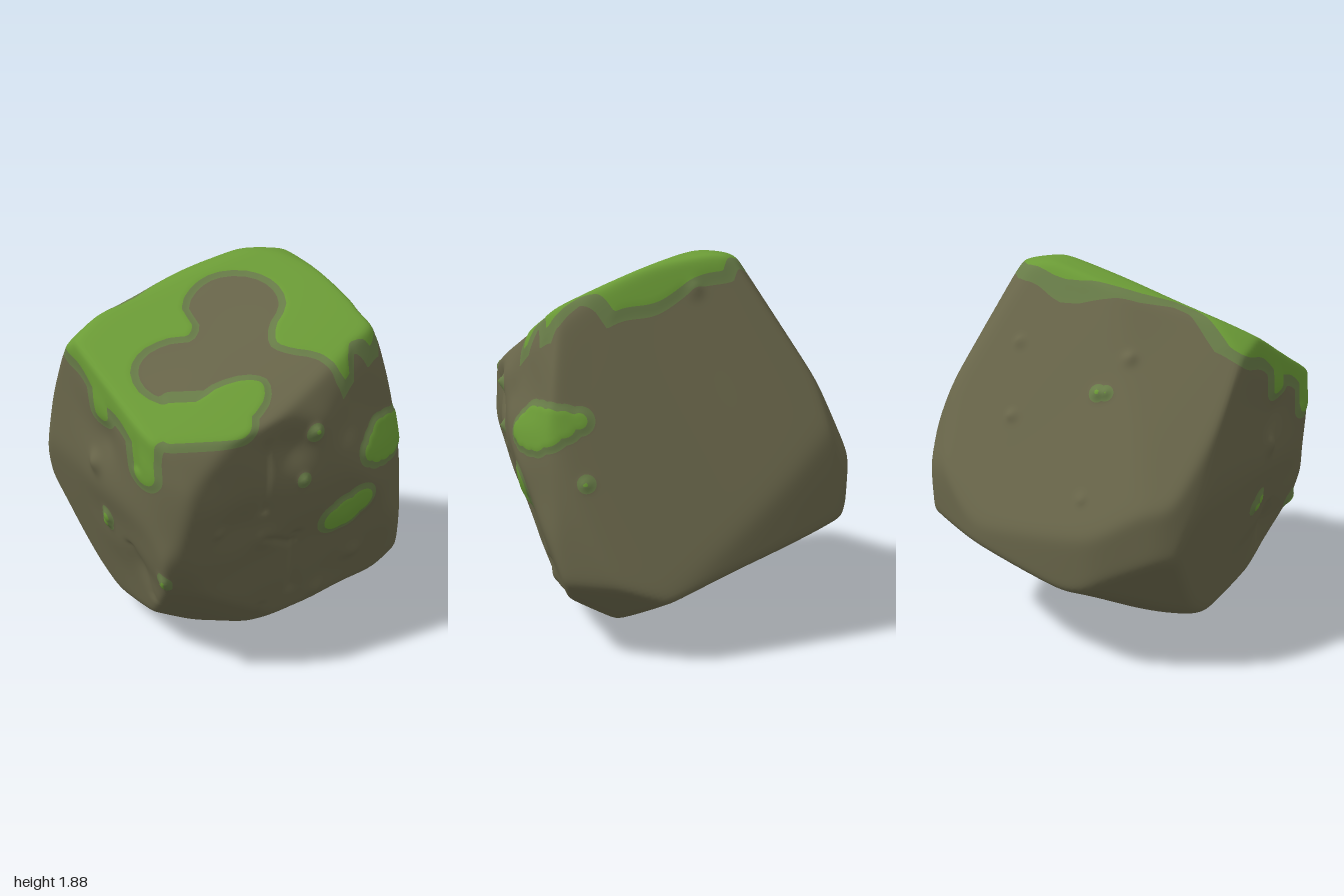
import * as THREE from 'three';
import { mergeVertices } from 'three/addons/utils/BufferGeometryUtils.js';

const MID = 0.94; // height of the rock's centre
const V = (x, y, z) => new THREE.Vector3(x, y, z);
const { smoothstep, clamp } = THREE.MathUtils;

// Outlines of the boulder: front (x, y), side (z, y) and plan (x, z)
const FRONT = [[-0.95, 0.72], [-0.94, 0.56], [-0.65, 0.22], [-0.55, 0.14], [-0.05, 0], [0.55, 0.08], [0.62, 0.11],
  [0.93, 0.4], [0.94, 0.55], [0.92, 0.8], [0.81, 1.4], [0.77, 1.52], [0.6, 1.72], [0.5, 1.8], [0.3, 1.87],
  [0.18, 1.88], [-0.2, 1.77], [-0.58, 1.64], [-0.72, 1.5], [-0.82, 1.42]];
const SIDE = [[1, 1.05], [0.91, 1.26], [0.5, 1.5], [-0.2, 1.88], [-0.35, 1.87], [-0.45, 1.83], [-0.85, 1.27],
  [-1, 0.86], [-0.98, 0.62], [-0.1, 0.12], [0, 0.08], [0.2, 0], [0.4, 0.08], [0.58, 0.25], [0.8, 0.46], [0.95, 0.75]];
const PLAN = [[0.27, -1], [-0.1, -0.97], [-0.2, -0.94], [-0.7, -0.6], [-0.9, -0.35], [-0.95, -0.2], [-0.75, 0.2],
  [-0.55, 0.55], [-0.38, 0.83], [-0.32, 0.9], [-0.16, 1], [0.13, 0.85], [0.7, 0.52], [0.92, 0.22],
  [0.94, -0.15], [0.85, -0.3], [0.45, -0.8]];

// Main faces of the tilted block: normal and distance from the centre
const TOP = [V(-0.06, 0.89, 0.45), 0.71];
const BACK = [V(-0.47, 0.48, -0.74), 0.67];
const planes = [TOP, BACK, [V(0.87, 0.26, -0.41), 0.7],
  [V(0.47, -0.3, 0.83), 0.75], [V(-0.85, -0.25, 0.46), 0.73], [V(0.08, -0.89, -0.45), 0.75],
  // Worn corners and bevels
  [V(0.5, 0.45, 0.74), 0.87], [V(0.72, 0.2, 0.66), 0.83], [V(-0.65, 0.55, -0.5), 0.72],
  [V(-0.745, -0.617, -0.248), 0.94], [V(-0.35, -0.87, 0.35), 0.94], [V(0.35, -0.87, 0.35), 0.93],
  [V(-0.35, -0.87, -0.35), 0.865]];

// Each outline edge adds a plane that trims the block
function trim(outline, centre, to3) {
  outline.forEach((a, i) => {
    const b = outline[(i + 1) % outline.length];
    const n = new THREE.Vector2(b[1] - a[1], a[0] - b[0]).normalize();
    const dist = (p) => n.dot(centre(p));
    if (dist(a) < 0) n.negate();
    planes.push([to3(n), Math.max(...outline.map(dist))]);
  });
}
const upright = (p) => new THREE.Vector2(p[0], p[1] - MID);
trim(FRONT, upright, (n) => V(n.x, n.y, 0));
trim(SIDE, upright, (n) => V(0, n.y, n.x));
trim(PLAN, (p) => new THREE.Vector2(p[0], p[1]), (n) => V(n.x, 0, n.y));

// Distance to the softly rounded block along direction d
function radius(d) {
  let sum = 0;
  for (const [n, h] of planes) sum += Math.pow(Math.max(0, n.dot(d) / h), 80);
  return 1.013 * Math.pow(sum, -1 / 80);
}
function onRock([x, y, z, r, h]) {
  const d = V(x, y - MID, z).normalize();
  return { p: d.multiplyScalar(radius(d)), r, h };
}

// Moss cap seen in plan, wrapping round a bare patch
const CAP = [[0.25, -0.5], [0.08, -0.46], [-0.1, -0.37], [-0.37, -0.13], [-0.48, 0.01], [-0.73, 0.07], [-0.9, 0.17],
  [-0.65, 0.68], [-0.45, 0.95], [-0.3, 0.93], [-0.2, 0.9], [-0.1, 0.88], [0.03, 0.89], [0.12, 0.82], [0.2, 0.7],
  [0.19, 0.59], [0.1, 0.56], [-0.05, 0.6], [-0.15, 0.67], [-0.25, 0.68], [-0.36, 0.61], [-0.4, 0.5],
  [-0.36, 0.41], [-0.25, 0.35], [-0.15, 0.34], [-0.11, 0.25], [-0.16, 0.12], [-0.1, 0], [0, -0.06], [0.15, -0.05],
  [0.25, 0.03], [0.28, 0.15], [0.22, 0.28], [0.22, 0.4], [0.3, 0.45], [0.42, 0.48], [0.52, 0.55], [0.61, 0.52],
  [0.61, 0.42], [0.72, 0.36], [0.75, 0.27], [0.68, 0.18], [0.66, 0], [0.6, -0.15], [0.48, -0.35], [0.38, -0.45]];
const cap = new THREE.CatmullRomCurve3(CAP.map(([x, z]) => V(x, 0, z)), true).getPoints(110);

function segment(px, py, ax, ay, bx, by) {
  const dx = bx - ax, dy = by - ay;
  const t = clamp(((px - ax) * dx + (py - ay) * dy) / (dx * dx + dy * dy || 1), 0, 1);
  return Math.hypot(px - ax - t * dx, py - ay - t * dy);
}
function capDepth(x, z) {
  let best = 9, inside = false;
  for (let i = 0; i < cap.length - 1; i++) {
    const a = cap[i], b = cap[i + 1];
    best = Math.min(best, segment(x, z, a.x, a.z, b.x, b.z));
    if (a.z > z !== b.z > z && x < ((b.x - a.x) * (z - a.z)) / (b.z - a.z) + a.x) inside = !inside;
  }
  return inside ? best : -best;
}

// Moss runs on the front: x1, y1, x2, y2, half width
const DRIPS = [[-0.59, 1.5, -0.57, 1.27, 0.065], [-0.38, 1.3, -0.365, 1.1, 0.08], [-0.25, 1.32, 0.05, 1.33, 0.09]];
// Moss cushions: position, radius, swelling
const CUSHIONS = [[0.55, 0.72, 0.54, 0.105, 0.012], [0.59, 0.75, 0.51, 0.12, 0.012], [0.64, 0.8, 0.48, 0.105, 0.012],
  [0.7, 1.05, 0.5, 0.075, 0.004], [0.74, 1.06, 0.45, 0.11, 0.005], [0.79, 1.08, 0.4, 0.135, 0.005],
  [0.81, 1.08, 0.34, 0.135, 0.004], [0.83, 1.09, 0.27, 0.12, 0], [0.84, 1.11, 0.2, 0.095, 0],
  [0.84, 1.13, 0.14, 0.07, 0], [0.9, 0.85, 0.09, 0.045, 0.008], [0.4, 1.22, 0.68, 0.045, 0.025],
  [0.35, 1, 0.7, 0.04, 0.015], [-0.61, 0.69, 0.46, 0.055, 0.01], [-0.61, 0.65, 0.43, 0.055, 0.01],
  [-0.26, 0.61, 0.75, 0.045, 0.01], [-0.27, 0.58, 0.75, 0.05, 0.01],
  [-0.43, 1.33, -0.42, 0.045, 0.015], [-0.46, 1.33, -0.39, 0.04, 0.01]].map(onRock);
// Small stone knobs and hollows: position, radius, height
const KNOBS = [[-0.62, 1, 0.45, 0.07, 0.025], [-0.04, 0.81, 0.9, 0.035, 0.015], [0.2, 0.7, 0.8, 0.08, 0.015],
  [0.6, 0.5, 0.35, 0.07, 0.02], [0.45, 0.3, 0.4, 0.06, 0.02], [0.3, 1.18, 0.75, 0.15, -0.035],
  [0.55, 1.2, 0.6, 0.13, -0.015], [0.05, 0.8, 0.9, 0.18, -0.025], [-0.4, 0.5, 0.6, 0.16, -0.02],
  [-0.52, 1.15, 0.5, 0.14, -0.02], [0.45, 1.71, -0.3, 0.05, 0.02], [0.05, 1.53, -0.62, 0.04, 0.015],
  [-0.1, 1.18, -0.72, 0.04, 0.015], [-0.46, 1.47, -0.26, 0.045, 0.018], [-0.6, 0.88, -0.6, 0.035, 0.012]].map(onRock);
// Chisel cracks on the front: x1, y1, x2, y2, width, depth
const CRACKS = [[0.18, 1.22, 0.17, 0.88, 0.035, 0.015], [0.34, 0.68, 0.33, 0.34, 0.035, 0.018],
  [0.19, 0.71, 0.32, 0.63, 0.03, 0.012], [-0.46, 0.6, -0.36, 0.34, 0.03, 0.012],
  [0.18, 0.26, 0.15, 0.12, 0.03, 0.01], [-0.41, 1.36, -0.4, 1.12, 0.025, 0.015]];

// How far inside the moss a point lies; negative is bare stone
function mossDepth(p) {
  const y = p.y + MID;
  const wobble = 0.01 * Math.sin(p.x * 17 + p.z * 9) + 0.007 * Math.sin(p.z * 27 - p.x * 13);
  const reach = 0.13 + 0.08 * smoothstep(p.x - p.z, -0.5, 0.1) * (1 - smoothstep(p.z, 0.15, 0.4));
  // The fringe is wider over the back edge and down the sides
  const edge = capDepth(p.x, p.z) * (1 - 0.4 * smoothstep(BACK[0].x * p.x + BACK[0].z * p.z, 0.1, 0.2));
  let f = Math.min(edge, 0.65 * (TOP[0].dot(p) - TOP[1] + reach + wobble));
  if (p.z > 0.2) for (const [a, b, c, d, r] of DRIPS) f = Math.max(f, r - segment(p.x, y, a, b, c, d));
  for (const s of CUSHIONS) f = Math.max(f, s.r - p.distanceTo(s.p));
  return f;
}

// Height added to the plain block at a point
function relief(p, f) {
  const y = p.y + MID;
  let h = 0.01 * smoothstep(f, 0, 0.05);
  for (const s of [...CUSHIONS, ...KNOBS]) h += s.h * Math.exp(-2 * (p.distanceTo(s.p) / s.r) ** 2);
  // Hewn texture fades out towards the top and the back
  const hewn = smoothstep(p.z, 0.1, 0.45) * smoothstep(TOP[1] - TOP[0].dot(p), 0.03, 0.15);
  let dent = 0.008 * Math.sin(p.x * 9 + 2 * Math.sin(y * 5)) * Math.sin(y * 8 + p.x * 4);
  for (const [a, b, c, d, w, deep] of CRACKS) dent -= deep * Math.exp(-2 * (segment(p.x, y, a, b, c, d) / w) ** 2);
  return h + hewn * dent + 0.004 * Math.sin(p.x * 5 + y * 3) * Math.sin(p.z * 6 - y * 4);
}

// Cut a polygon where its moss depth crosses a limit
function cut(poly, limit, sign) {
  const out = [];
  poly.forEach((a, i) => {
    const b = poly[(i + 1) % poly.length];
    const da = (a[6] - limit) * sign, db = (b[6] - limit) * sign;
    if (da >= 0) out.push(a);
    if (da >= 0 !== db >= 0) out.push(a.map((v, k) => v + ((b[k] - v) * da) / (da - db)));
  });
  return out;
}

export function createModel() {
  const ball = new THREE.IcosahedronGeometry(1, 70);
  ball.deleteAttribute('uv');
  ball.deleteAttribute('normal');
  const rock = mergeVertices(ball, 1e-5);
  const pos = rock.attributes.position, depth = [];
  for (let i = 0; i < pos.count; i++) {
    const d = V().fromBufferAttribute(pos, i).normalize();
    const p = d.clone().multiplyScalar(radius(d));
    depth[i] = mossDepth(p);
    p.addScaledVector(d, relief(p, depth[i]));
    pos.setXYZ(i, p.x, p.y, p.z);
  }

  // Centre it and stand it on the ground
  rock.computeBoundingBox();
  const c = rock.boundingBox.getCenter(V());
  rock.translate(-c.x, -rock.boundingBox.min.y, -c.z);
  rock.computeVertexNormals();

  // Stone, moss fringe and moss are separate surfaces split at the moss line
  const group = new THREE.Group();
  const bands = [['stone', 0x69664a, -99, 0], ['mossFringe', 0x687c48, 0, 0.033], ['moss', 0x6b9b36, 0.033, 99]];
  const nor = rock.attributes.normal, index = rock.index.array;
  const corner = (i) => [pos.getX(i), pos.getY(i), pos.getZ(i), nor.getX(i), nor.getY(i), nor.getZ(i), depth[i]];
  for (const [name, color, lo, hi] of bands) {
    const points = [], normals = [];
    for (let t = 0; t < index.length; t += 3) {
      const poly = cut(cut([0, 1, 2].map((k) => corner(index[t + k])), lo, 1), hi, -1);
      for (let k = 1; k < poly.length - 1; k++) {
        for (const v of [poly[0], poly[k], poly[k + 1]]) {
          points.push(v[0], v[1], v[2]);
          normals.push(v[3], v[4], v[5]);
        }
      }
    }
    const geometry = new THREE.BufferGeometry();
    geometry.setAttribute('position', new THREE.Float32BufferAttribute(points, 3));
    geometry.setAttribute('normal', new THREE.Float32BufferAttribute(normals, 3));
    const material = new THREE.MeshStandardMaterial({ color });
    material.name = name;
    const mesh = new THREE.Mesh(geometry, material);
    mesh.name = name;
    group.add(mesh);
  }
  group.name = 'mossyBoulder';
  return group;
}
